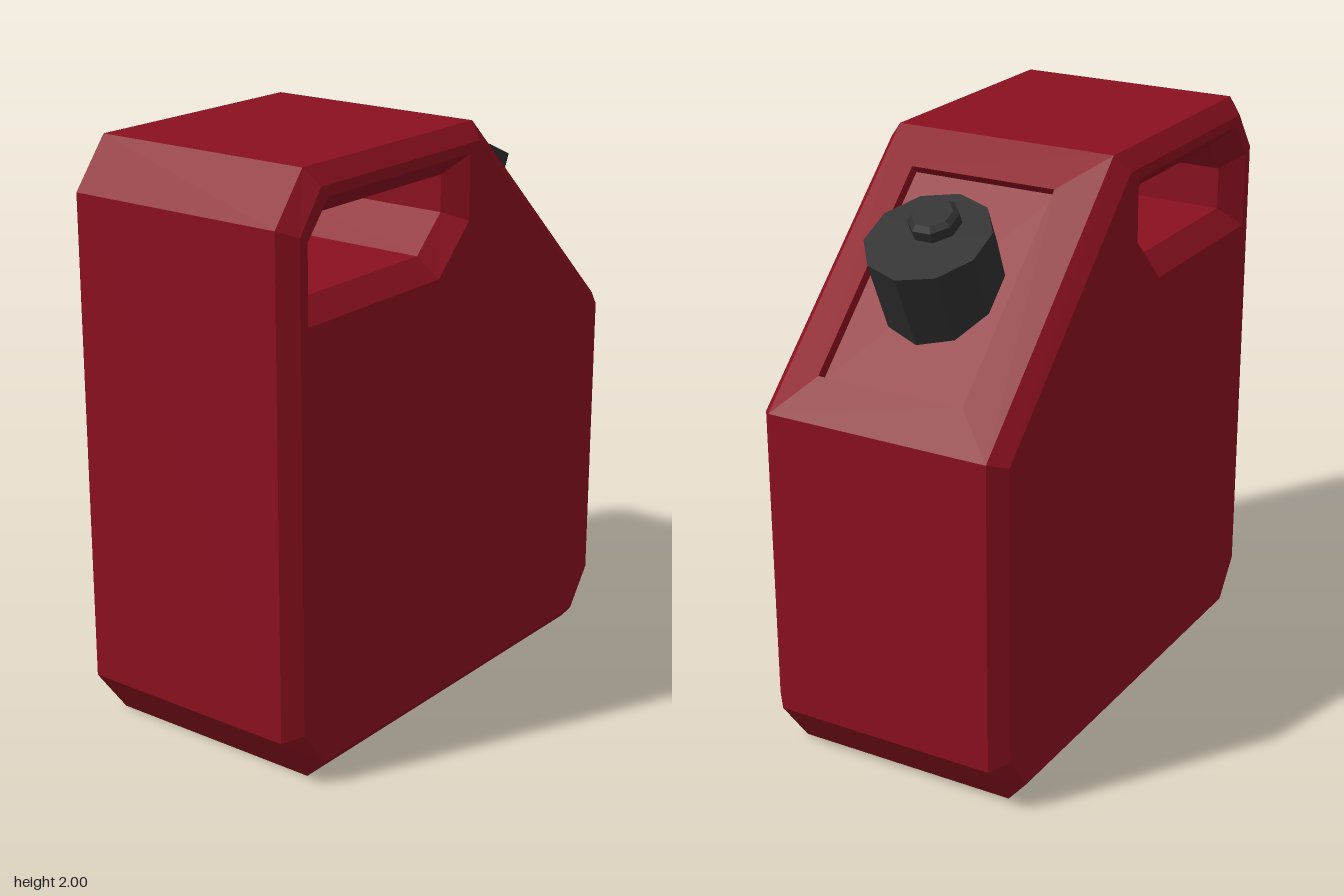
import * as THREE from 'three';

const red = new THREE.MeshStandardMaterial({ color: 0x8b1020, flatShading: true });
const dark = new THREE.MeshStandardMaterial({ color: 0x303030, flatShading: true });

// Profiles as [z, y], all running in the same direction
const outline = [[0.77, 0], [0.9, 0.17], [0.9, 1.835], [0.77, 2], [-0.105, 2], [-0.9, 1.24], [-0.9, 0.17], [-0.77, 0]];
const sideOutline = [[0.745, 0.055], [0.845, 0.19], [0.845, 1.81], [0.745, 1.945], [-0.08, 1.945], [-0.845, 1.22], [-0.845, 0.19], [-0.745, 0.055]];
const holeOuter = [[0.81, 1.53], [0.81, 1.79], [0.71, 1.91], [-0.025, 1.91], [-0.025, 1.69], [0.14, 1.53]];
const holeInner = [[0.74, 1.6], [0.74, 1.745], [0.655, 1.845], [0.037, 1.845], [0.037, 1.72], [0.165, 1.6]];
const SLOPE = 4; // outline edge that carries the spout panel

const ring = (profile, x) => profile.map(([z, y]) => [x, y, z]);

// Quads joining two closed loops of equal length
function band(a, b, skip = -1) {
  const out = [];
  a.forEach((p, i) => {
    if (i === skip) return;
    const j = (i + 1) % a.length;
    out.push(p, a[j], b[j], p, b[j], b[i]);
  });
  return out;
}

function facetMesh(name, points) {
  const geometry = new THREE.BufferGeometry();
  geometry.setAttribute('position', new THREE.Float32BufferAttribute(points.flat(), 3));
  geometry.computeVertexNormals();
  const mesh = new THREE.Mesh(geometry, red);
  mesh.name = name;
  return mesh;
}

// Flat side wall with the handle opening cut out
function sideWall(side) {
  const flat = (profile) => profile.map(([z, y]) => new THREE.Vector2(-side * z, y));
  const shape = new THREE.Shape(flat(sideOutline));
  shape.holes.push(new THREE.Path(flat(holeOuter)));
  const geometry = new THREE.ShapeGeometry(shape);
  geometry.rotateY(side * Math.PI / 2);
  geometry.translate(side * 0.45, 0, 0);
  const mesh = new THREE.Mesh(geometry, red);
  mesh.name = side > 0 ? 'leftWall' : 'rightWall';
  return mesh;
}

// Loop of four corners on the slope, from low edge to high edge
const slopeLoop = (w, [zLow, yLow], [zHigh, yHigh]) =>
  [[w, yLow, zLow], [-w, yLow, zLow], [-w, yHigh, zHigh], [w, yHigh, zHigh]];

function cylinder(name, rTop, rBottom, height, sides, y, start = 0) {
  const mesh = new THREE.Mesh(new THREE.CylinderGeometry(rTop, rBottom, height, sides, 1, false, start), dark);
  mesh.position.y = y;
  mesh.name = name;
  return mesh;
}

export function createModel() {
  const model = new THREE.Group();
  model.name = 'fuelCan';

  // Bevelled body shell
  const body = new THREE.Group();
  body.name = 'body';
  body.add(sideWall(1), sideWall(-1));
  const edgeL = ring(outline, 0.4), edgeR = ring(outline, -0.4);
  body.add(facetMesh('shell', [
    ...band(ring(sideOutline, 0.45), edgeL),
    ...band(edgeL, edgeR, SLOPE),
    ...band(edgeR, ring(sideOutline, -0.45)),
  ]));

  // Handle opening: chamfered on both sides, straight through the middle
  const tunnel = [ring(holeOuter, 0.45), ring(holeInner, 0.38), ring(holeInner, -0.38), ring(holeOuter, -0.45)];
  body.add(facetMesh('handleOpening', [0, 1, 2].flatMap((i) => band(tunnel[i + 1], tunnel[i]))));

  // Sloped shoulder rising to a rim, with a sunken panel inside
  const base = slopeLoop(0.4, outline[SLOPE + 1], outline[SLOPE]);
  const rim = slopeLoop(0.265, [-0.81, 1.365], [-0.245, 1.905]);
  const floor = rim.map(([x, y, z]) => [x, y - 0.026, z + 0.025]);
  body.add(facetMesh('spoutPanel', [
    ...band(base, rim),
    ...band(rim, floor),
    floor[0], floor[1], floor[2], floor[0], floor[2], floor[3],
  ]));
  model.add(body);

  // Tilted ten-sided cap with an off-centre knob
  const cap = new THREE.Group();
  cap.name = 'cap';
  cap.position.set(0, 1.8, -0.573);
  cap.rotation.x = THREE.MathUtils.degToRad(-24.5);
  cap.add(cylinder('capBody', 0.21, 0.21, 0.3, 10, -0.15));
  const knob = new THREE.Group();
  knob.name = 'knob';
  knob.position.z = 0.053;
  knob.add(cylinder('knobBase', 0.085, 0.085, 0.04, 8, 0.015, Math.PI / 8));
  knob.add(cylinder('knobTop', 0.068, 0.085, 0.016, 8, 0.043, Math.PI / 8));
  cap.add(knob);
  model.add(cap);

  return model;
}
